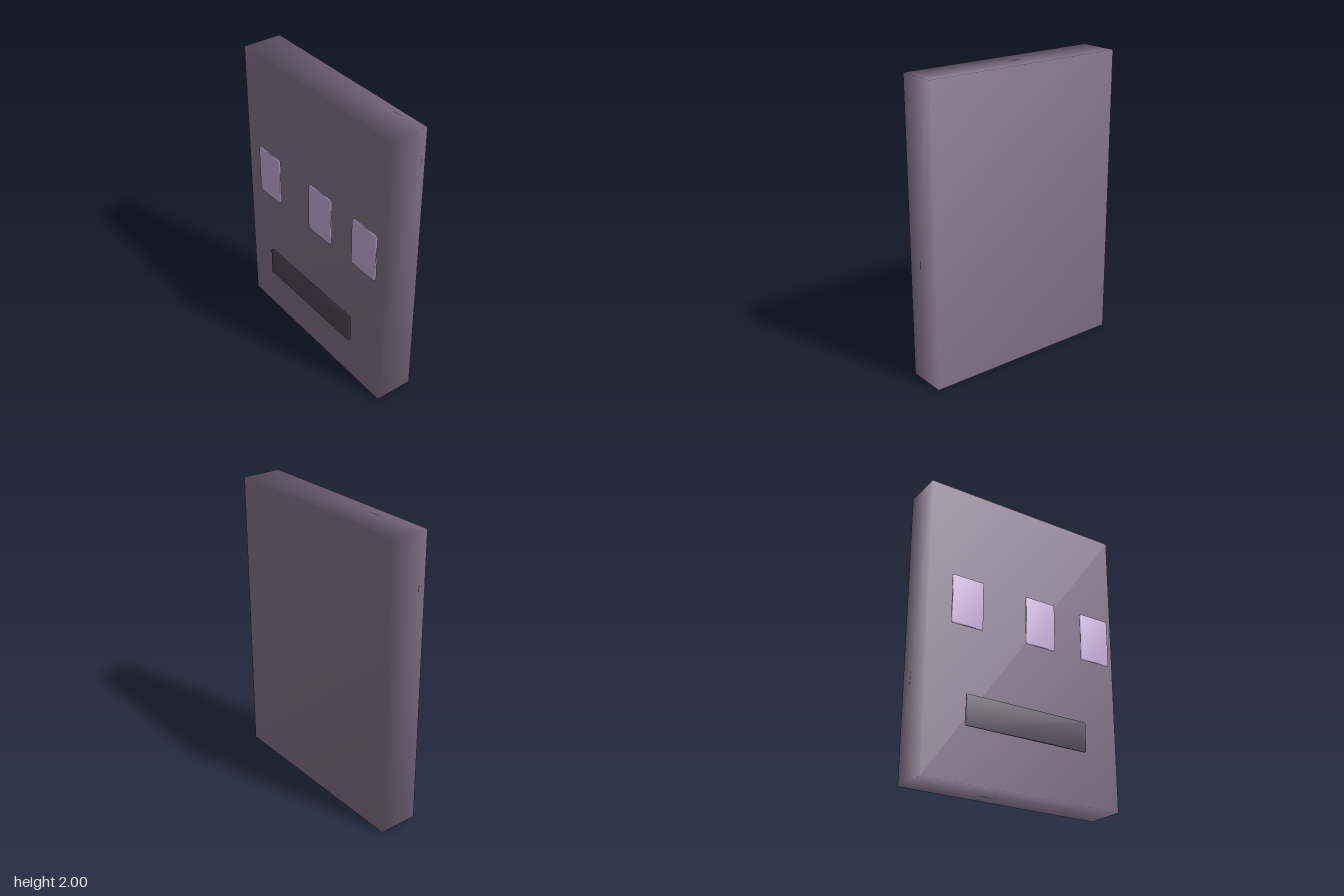
import * as THREE from 'three';
import { mergeVertices } from 'three/addons/utils/BufferGeometryUtils.js';

const material = (name, color) => {
  const m = new THREE.MeshStandardMaterial({ color });
  m.name = name;
  return m;
};

// Box given by its bounds, with corners welded for smooth normals
function softBox(name, mat, [x0, x1], [y0, y1], [z0, z1]) {
  let geo = new THREE.BoxGeometry(x1 - x0, y1 - y0, z1 - z0);
  geo.deleteAttribute('normal');
  geo.deleteAttribute('uv');
  geo = mergeVertices(geo);
  geo.computeVertexNormals();
  const mesh = new THREE.Mesh(geo, mat);
  mesh.name = name;
  mesh.position.set((x0 + x1) / 2, (y0 + y1) / 2, (z0 + z1) / 2);
  return mesh;
}

export function createModel() {
  const bodyMat = material('dusty purple', 0x88778f);
  const eyeMat = material('pale lilac', 0xceb4e0);
  const mouthMat = material('dark plum', 0x51475a);

  const model = new THREE.Group();
  model.name = 'slabFace';

  // Upright slab
  model.add(softBox('body', bodyMat, [-0.72, 0.72], [0, 2], [-0.155, 0.115]));

  // Three unevenly spaced eyes, floating just off the front
  const eyes = new THREE.Group();
  eyes.name = 'eyes';
  [['rightEye', -0.555], ['middleEye', 0], ['leftEye', 0.445]].forEach(([name, x]) =>
    eyes.add(softBox(name, eyeMat, [x, x + 0.22], [1.005, 1.335], [0.125, 0.145])));
  model.add(eyes);

  // Wide mouth
  model.add(softBox('mouth', mouthMat, [-0.443, 0.443], [0.347, 0.545], [0.137, 0.155]));

  return model;
}
